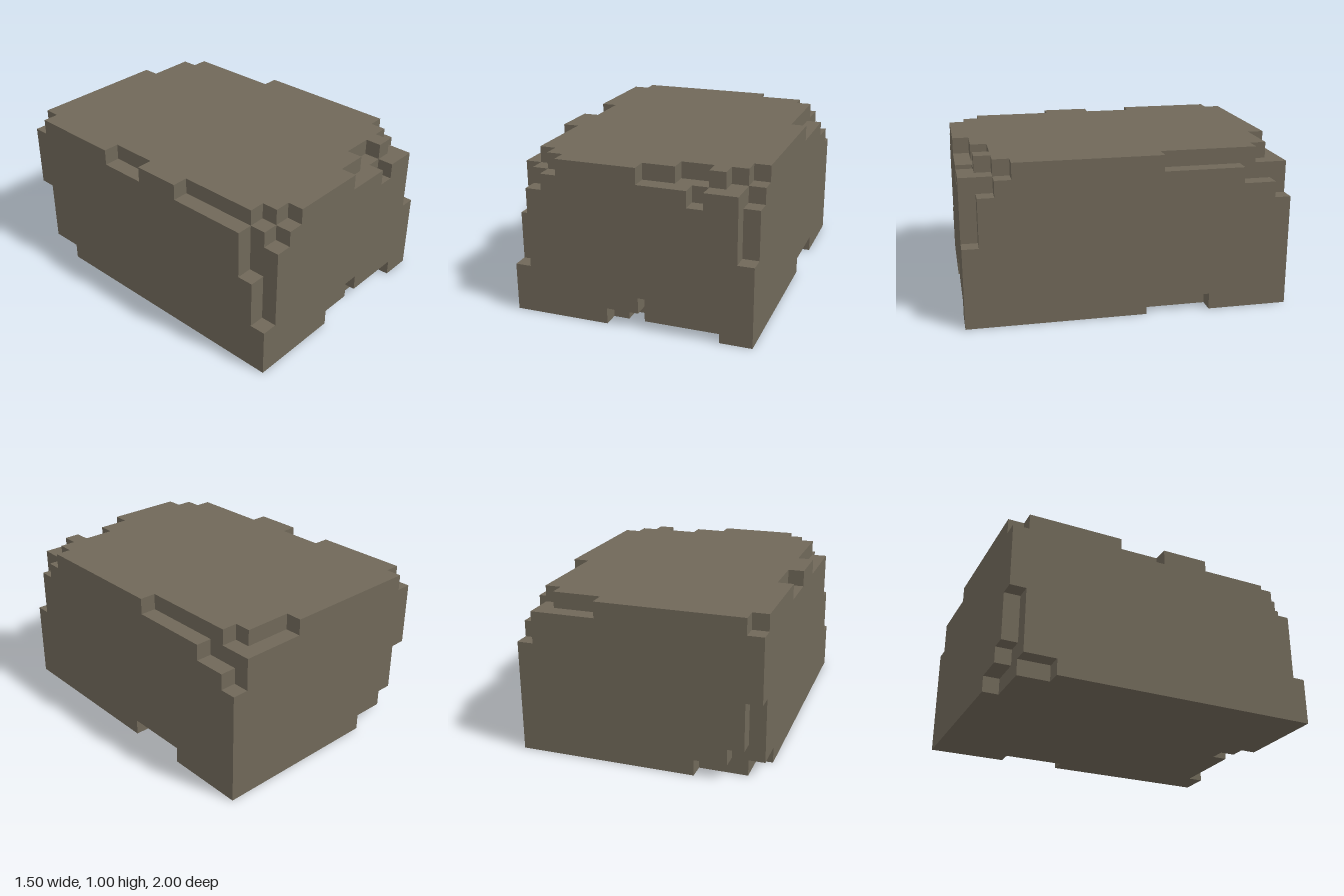
import * as THREE from 'three';

const CELL = 0.1;
const W = 15, H = 10, D = 20; // cells along x, y, z
const SIZE = [W, H, D];

// Cells missing from the top and from the bottom of each upright column
const missingTop = new Map(), missingBottom = new Map();
const columnKey = (x, z) => x + z * W;

// Chips a row of columns; each run is [first, last, depth]
function chipAlongX(missing, z, ...runs) {
  for (const [first, last, depth] of runs)
    for (let x = first; x <= last; x++) missing.set(columnKey(x, z), depth);
}
function chipAlongZ(missing, x, ...runs) {
  for (const [first, last, depth] of runs)
    for (let z = first; z <= last; z++) missing.set(columnKey(x, z), depth);
}

// Upper left and right edges, deepest at the corners
chipAlongZ(missingTop, W - 1, [0, 0, 3], [1, 2, 2], [3, 7, 1], [17, 17, 1], [18, 18, 2], [19, 19, 5]);
chipAlongZ(missingTop, 0, [0, 0, 1], [7, 9, 1], [13, 17, 1], [18, 18, 4], [19, 19, 7]);

// Upper back and front edges, with the row behind each
chipAlongX(missingTop, 0, [10, 13, 1]);
chipAlongX(missingTop, 1, [13, 13, 1]);
chipAlongX(missingTop, D - 2, [1, 1, 1], [10, 11, 1], [13, 13, 1]);
chipAlongX(missingTop, D - 1, [1, 1, 2], [2, 2, 1], [8, 13, 1], [11, 11, 2]);

// Lower edges
chipAlongX(missingBottom, D - 1, [6, 12, 1], [8, 8, 2]);
chipAlongX(missingBottom, D - 2, [7, 7, 1]);
chipAlongX(missingBottom, 0, [0, 0, 5], [1, 1, 2], [2, 3, 1]);
chipAlongZ(missingBottom, W - 1, [5, 8, 1]);
chipAlongZ(missingBottom, 0, [1, 2, 1]);

function isSolid([x, y, z]) {
  if (x < 0 || x >= W || z < 0 || z >= D) return false;
  const key = columnKey(x, z);
  return y >= (missingBottom.get(key) ?? 0) && y < H - (missingTop.get(key) ?? 0);
}

// Emits one square for every cell side that borders on empty space
function chippedBlockGeometry() {
  const positions = [], normals = [], index = [];
  const addFace = (cell, axis, dir) => {
    const u = (axis + 1) % 3, v = (axis + 2) % 3;
    const start = positions.length / 3;
    for (const [du, dv] of [[0, 0], [1, 0], [1, 1], [0, 1]]) {
      const p = [...cell];
      p[axis] += dir > 0 ? 1 : 0;
      p[u] += du;
      p[v] += dv;
      positions.push((p[0] - W / 2) * CELL, p[1] * CELL, (p[2] - D / 2) * CELL);
      normals.push(...SIZE.map((_, a) => (a === axis ? dir : 0)));
    }
    const order = dir > 0 ? [0, 1, 2, 0, 2, 3] : [0, 2, 1, 0, 3, 2];
    index.push(...order.map((i) => start + i));
  };

  for (let x = 0; x < W; x++)
    for (let y = 0; y < H; y++)
      for (let z = 0; z < D; z++) {
        const cell = [x, y, z];
        if (!isSolid(cell)) continue;
        for (let axis = 0; axis < 3; axis++)
          for (const dir of [-1, 1]) {
            const next = [...cell];
            next[axis] += dir;
            if (!isSolid(next)) addFace(cell, axis, dir);
          }
      }

  const geometry = new THREE.BufferGeometry();
  geometry.setAttribute('position', new THREE.Float32BufferAttribute(positions, 3));
  geometry.setAttribute('normal', new THREE.Float32BufferAttribute(normals, 3));
  geometry.setIndex(index);
  return geometry;
}

export function createModel() {
  const stone = new THREE.MeshStandardMaterial({ color: 0x706859 });
  stone.name = 'stone';

  const block = new THREE.Mesh(chippedBlockGeometry(), stone);
  block.name = 'chippedStoneBlock';

  const model = new THREE.Group();
  model.name = 'stone';
  model.add(block);
  return model;
}
